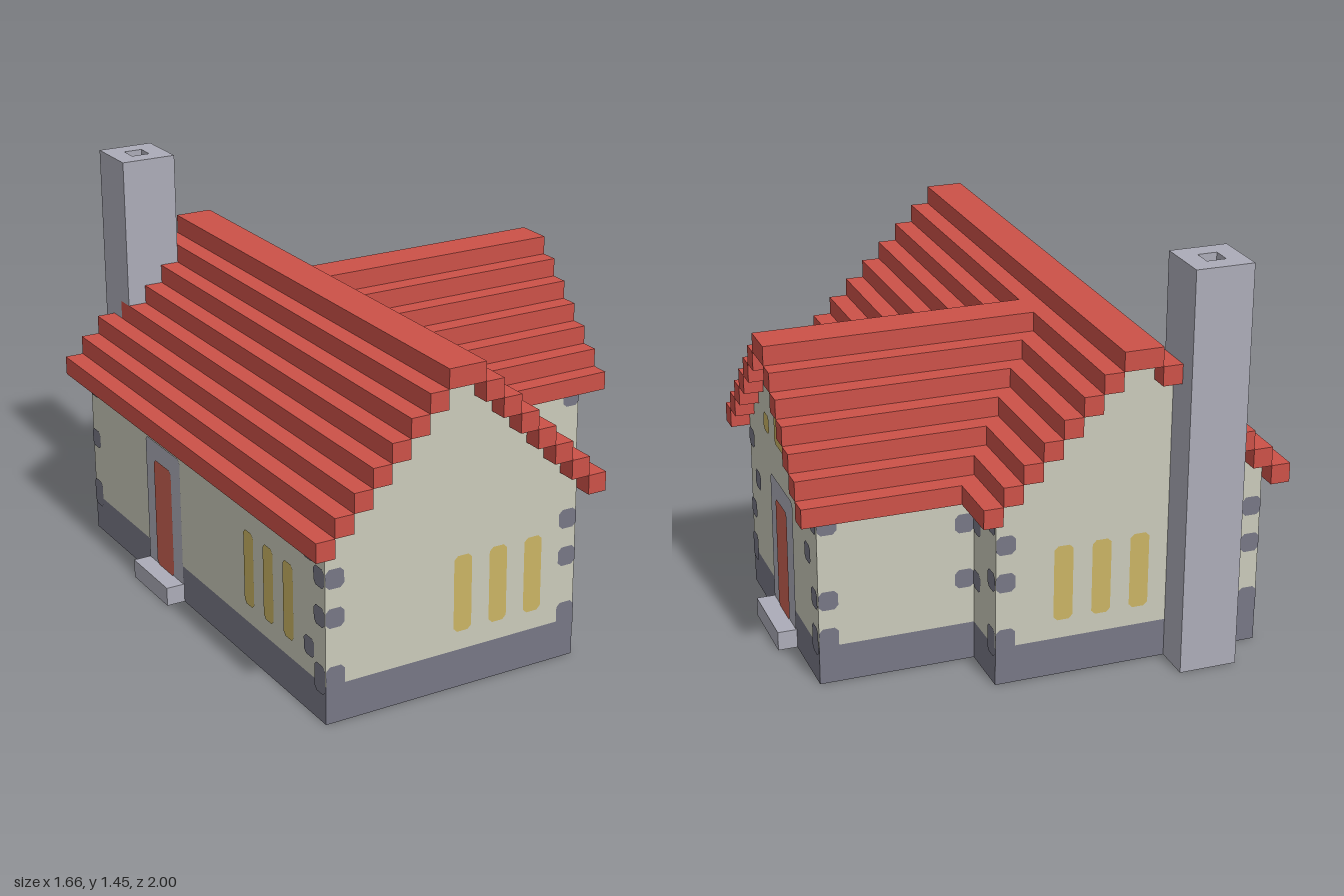
import * as THREE from 'three';

const U = 1 / 14.5; // one building block
const flat = (name, color) => {
  const m = new THREE.MeshStandardMaterial({ color });
  m.name = name;
  return m;
};

export function createModel() {
  const model = new THREE.Group();
  model.name = 'house';
  const plaster = flat('plaster', 0xcacaba);
  const stone = flat('dark stone', 0x777785);
  const paleStone = flat('pale stone', 0xacacb8);
  const tile = flat('roof tile', 0xcc5148);
  const glass = flat('yellow glass', 0xcab464);
  const doorRed = flat('door red', 0xca6252);

  const add = (name, geometry, material) => {
    const mesh = new THREE.Mesh(geometry, material);
    mesh.name = name;
    model.add(mesh);
    return mesh;
  };
  // Box given by its limits in blocks
  const block = (name, mat, x0, x1, y0, y1, z0, z1) => {
    const mesh = add(name, new THREE.BoxGeometry((x1 - x0) * U, (y1 - y0) * U, (z1 - z0) * U), mat);
    mesh.position.set((x0 + x1) / 2 * U, (y0 + y1) / 2 * U, (z0 + z1) / 2 * U);
  };

  // Stepped gable body, extruded along its ridge
  const gable = (half, depth) => {
    const pts = [[half, 2]];
    for (let w = half, y = 10; w >= 1; w--, y++) pts.push([w, y], [w - 1, y]);
    const left = pts.slice(0, -1).map(([x, y]) => [-x, y]).reverse();
    const shape = new THREE.Shape([...pts, ...left].map(([x, y]) => new THREE.Vector2(x * U, y * U)));
    return new THREE.ExtrudeGeometry(shape, { depth: depth * U, bevelEnabled: false });
  };
  const mainWalls = add('mainWalls', gable(7, 26), plaster);
  mainWalls.position.set(-4 * U, 0, -12.5 * U);
  const wingWalls = add('wingWalls', gable(6, 8.2), plaster);
  wingWalls.rotation.y = Math.PI / 2;
  wingWalls.position.set(2.8 * U, 0, -3.5 * U);

  // Foundations
  block('mainFoundation', stone, -11, 3, 0, 2, -12.5, 13.5);
  block('wingFoundation', stone, 3, 11, 0, 2, -9.5, 2.5);

  // Main roof: ridge and seven stepped rows per side, notched for the chimney
  block('mainRidge', tile, -5, -3, 16, 17, -13.5, 14.5);
  for (let k = 1; k <= 7; k++) {
    const back = k >= 2 && k <= 4 ? -12.5 : -13.5;
    block('mainRoofRow', tile, -4 + k, -3 + k, 16 - k, 17 - k, -13.5, 14.5);
    block('mainRoofRow', tile, -5 - k, -4 - k, 16 - k, 17 - k, back, 14.5);
  }
  // Wing roof, each row starting at the valley
  block('wingRidge', tile, -2, 12, 15, 16, -4.5, -2.5);
  for (let k = 1; k <= 6; k++) {
    block('wingRoofRow', tile, k - 2, 12, 15 - k, 16 - k, -3.5 + k, -2.5 + k);
    block('wingRoofRow', tile, k - 2, 12, 15 - k, 16 - k, -4.5 - k, -3.5 - k);
  }

  // Chimney with an open flue
  const square = (Type, r) => new Type([[-r, -r], [r, -r], [r, r], [-r, r]].map(([x, y]) => new THREE.Vector2(x * U, y * U)));
  const stack = square(THREE.Shape, 1.5);
  stack.holes.push(square(THREE.Path, 0.5));
  const chimney = add('chimney', new THREE.ExtrudeGeometry(stack, { depth: 21 * U, bevelEnabled: false }), paleStone);
  chimney.rotation.x = -Math.PI / 2;
  chimney.position.set(-7.5 * U, 0, -13 * U);

  // Door steps
  block('rightDoorStep', paleStone, 11, 12, 0, 1, -5.5, -1.5);
  block('leftDoorStep', paleStone, -12, -11, 0, 1, -5.5, -1.5);

  // Painted panel with clipped corners, laid on a wall
  const turns = { front: 0, right: Math.PI / 2, back: Math.PI, left: -Math.PI / 2 };
  const panel = (name, mat, wall, a0, a1, y0, y1, layer = 1) => {
    const w = (a1 - a0) / 2 * U, h = (y1 - y0) / 2 * U, c = 0.2 * U;
    const shape = new THREE.Shape([
      [-w + c, -h], [w - c, -h], [w, -h + c], [w, h - c], [w - c, h], [-w + c, h], [-w, h - c], [-w, -h + c],
    ].map(([x, y]) => new THREE.Vector2(x, y)));
    const mesh = add(name, new THREE.ShapeGeometry(shape), mat);
    const mid = (a0 + a1) / 2 * U, out = wall.plane * U + Math.sign(wall.out) * 0.003 * layer;
    const y = (y0 + y1) / 2 * U;
    mesh.rotation.y = turns[wall.side];
    if (wall.side === 'front' || wall.side === 'back') mesh.position.set(mid, y, out);
    else mesh.position.set(out, y, mid);
  };

  // Each wall: corner stones as [start, bottom], windows as [start, end, bottom, top]
  const tall = (...starts) => starts.map((a) => [a, a + 1, 3, 7]);
  const sideStones = [[12.5, 5], [12.5, 7], [11.5, 3], [11.5, 8], [12.5, 2]];
  const rearStones = [[-12.5, 2], [-12.5, 5], [-12.5, 8]];
  const gableStones = [-11, 2].flatMap((a) => [2, 5, 7].map((y) => [a, y]));
  const wingStones = [[3, 4], [3, 7], [10, 2], [10, 4], [10, 8]];
  const walls = [
    { side: 'front', plane: 13.5, out: 1, stones: gableStones, windows: tall(-4, -2, 0) },
    { side: 'back', plane: -12.5, out: -1, stones: gableStones, windows: tall(-5, -3, -1) },
    { side: 'front', plane: 2.5, out: 1, stones: wingStones, windows: [] },
    { side: 'back', plane: -9.5, out: -1, stones: wingStones, windows: [] },
    {
      side: 'right', plane: 3, out: 1, windows: tall(5.5, 7.5, 9.5),
      stones: [...sideStones, ...rearStones, [2.5, 5], [2.5, 7], [-10.5, 4], [-10.5, 7]],
    },
    {
      side: 'left', plane: -11, out: -1, windows: tall(5.5, 7.5, 9.5), door: true,
      stones: [...sideStones, ...rearStones],
    },
    {
      side: 'right', plane: 11, out: 1, door: true,
      windows: [[-4.5, -2.5, 10, 12], [-1.5, -0.5, 10, 11], [-6.5, -5.5, 10, 11]],
      stones: [1.5, -9.5].flatMap((a) => [2, 4, 8].map((y) => [a, y])).concat([[0.5, 6], [-8.5, 6]]),
    },
  ];
  for (const wall of walls) {
    for (const [a, y] of wall.stones) panel('cornerStone', stone, wall, a, a + 1, y === 2 ? 1.5 : y, y + 1);
    for (const w of wall.windows) panel('window', glass, wall, ...w);
    if (wall.door) {
      panel('doorFrame', paleStone, wall, -5.5, -1.5, 0.7, 8);
      panel('door', doorRed, wall, -4.5, -2.5, 1, 7, 2);
    }
  }
  return model;
}
